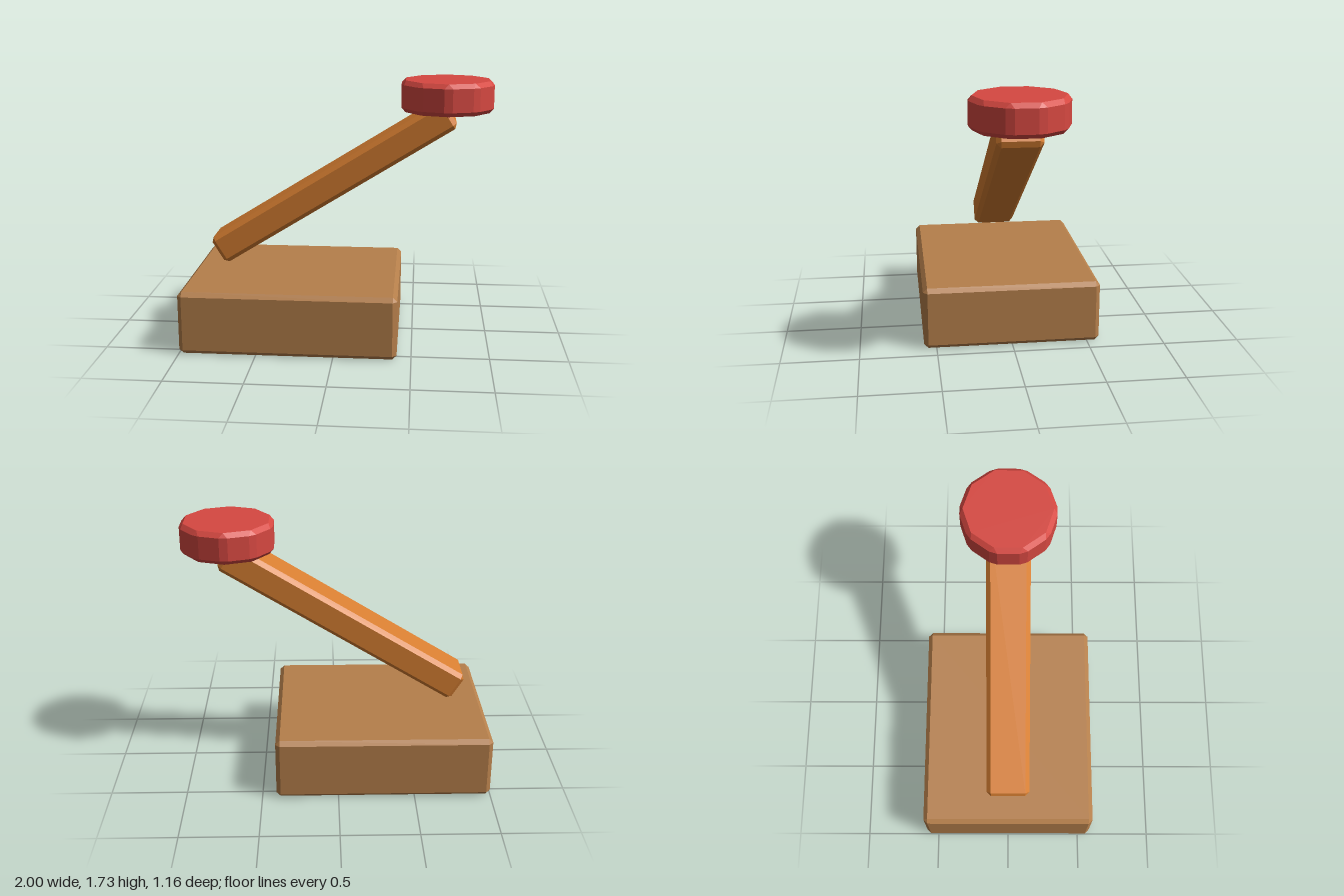
import * as THREE from 'three';
import { ConvexGeometry } from 'three/addons/geometries/ConvexGeometry.js';

const BEVEL = 0.028;

// Upright prism over a convex outline (x, z), with every edge chamfered.
function beveledPrism(outline, height) {
  const points = [];
  const n = outline.length;
  outline.forEach((p, i) => {
    const a = outline[(i + n - 1) % n].clone().sub(p).normalize();
    const b = outline[(i + 1) % n].clone().sub(p).normalize();
    const inset = p.clone().addScaledVector(a.clone().add(b), BEVEL / Math.abs(a.cross(b)));
    const alongA = p.clone().addScaledVector(a, BEVEL);
    const alongB = p.clone().addScaledVector(b, BEVEL);
    for (const s of [-1, 1]) {
      const y = s * height / 2;
      points.push(new THREE.Vector3(inset.x, y, inset.y));
      for (const q of [alongA, alongB]) points.push(new THREE.Vector3(q.x, y - s * BEVEL, q.y));
    }
  });
  return new ConvexGeometry(points);
}

function rectangle(width, depth) {
  return [[1, 1], [-1, 1], [-1, -1], [1, -1]].map(
    ([x, z]) => new THREE.Vector2(x * width / 2, z * depth / 2));
}

function polygon(radius, sides) {
  return Array.from({ length: sides }, (_, i) => {
    const t = Math.PI / 2 + (i / sides) * Math.PI * 2;
    return new THREE.Vector2(Math.cos(t) * radius, Math.sin(t) * radius);
  });
}

export function createModel() {
  const model = new THREE.Group();
  const add = (name, geometry, color, x, y) => {
    const material = new THREE.MeshStandardMaterial({ color, flatShading: true });
    const mesh = new THREE.Mesh(geometry, material);
    mesh.name = name;
    mesh.position.set(x, y, 0);
    model.add(mesh);
    return mesh;
  };

  // Heavy block on the ground
  add('base', beveledPrism(rectangle(1.408, 1.164), 0.416), 0xb57f4b, -0.296, 0.208);

  // Sloping beam floating over the base
  const arm = add('arm', beveledPrism(rectangle(1.816, 0.286), 0.2), 0xd67e31, -0.046, 1.04);
  arm.rotation.z = THREE.MathUtils.degToRad(31.8);

  // Ten-sided pad at the top of the beam
  add('pad', beveledPrism(polygon(0.313, 10), 0.205), 0xd64841, 0.702, 1.623);

  return model;
}
